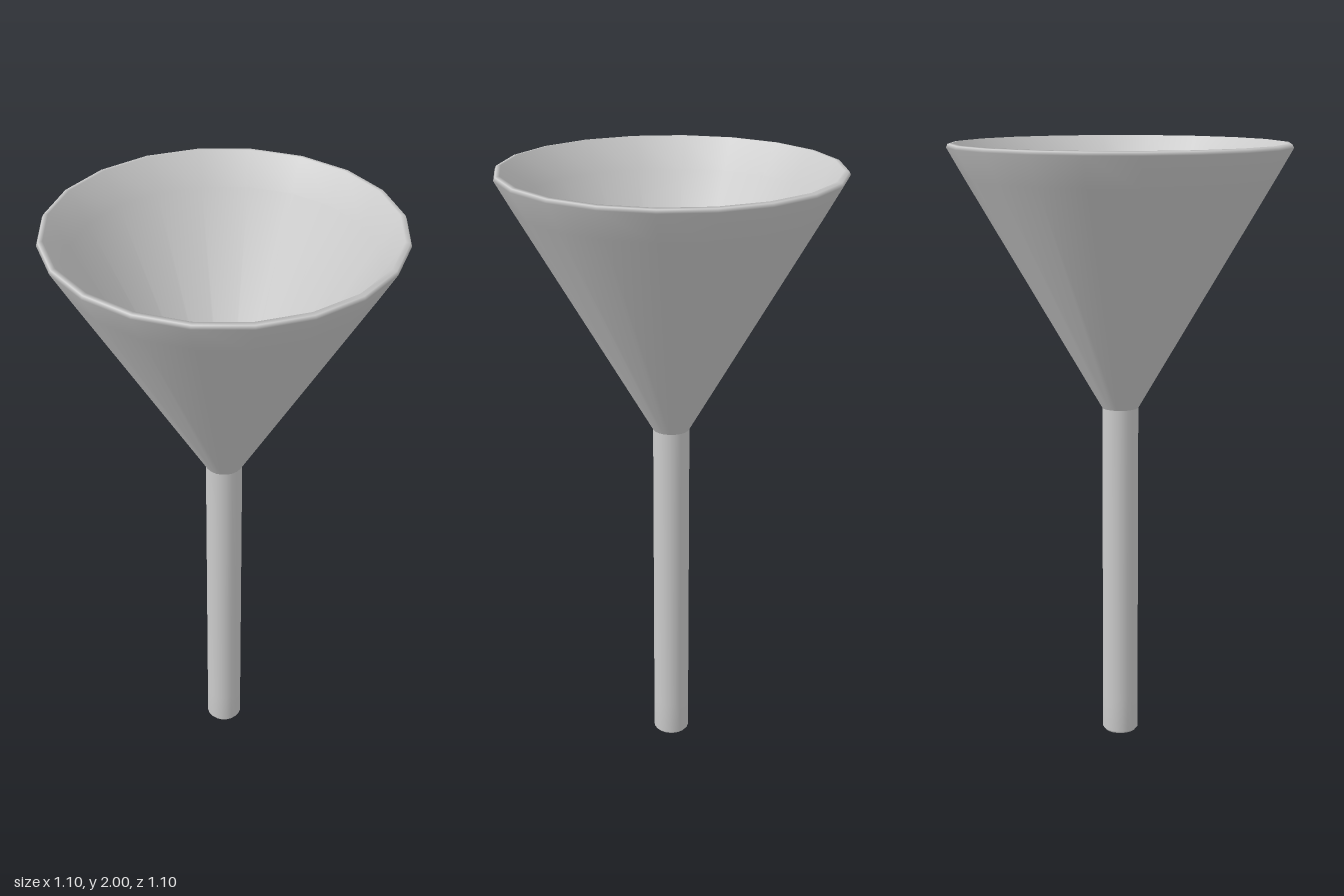
import * as THREE from 'three';

const SIDES = 20;

// Revolves [radius, height] pairs; outer walls run upward, inner walls downward
function turned(name, profile, material) {
  const points = profile.map(([r, y]) => new THREE.Vector2(r, y));
  const mesh = new THREE.Mesh(new THREE.LatheGeometry(points, SIDES), material);
  mesh.name = name;
  return mesh;
}

export function createModel() {
  const group = new THREE.Group();
  group.name = 'funnel';
  const material = new THREE.MeshStandardMaterial({ color: 0xcccccc });

  // Cone wall: outside up, over the softened rim, and down the inside
  group.add(turned('cone', [
    [0.06, 1.14], [0.495, 1.89], [0.55, 1.987], [0.545, 1.998],
    [0.53, 2.0], [0.472, 1.9], [0.035, 1.146],
  ], material));

  // Hollow stem: down the bore, around the tip, and up the outside
  group.add(turned('stem', [
    [0.035, 1.146], [0.035, 0.12], [0.035, 0.008], [0.04, 0],
    [0.054, 0], [0.06, 0.008], [0.06, 0.12], [0.06, 1.14],
  ], material));

  return group;
}
